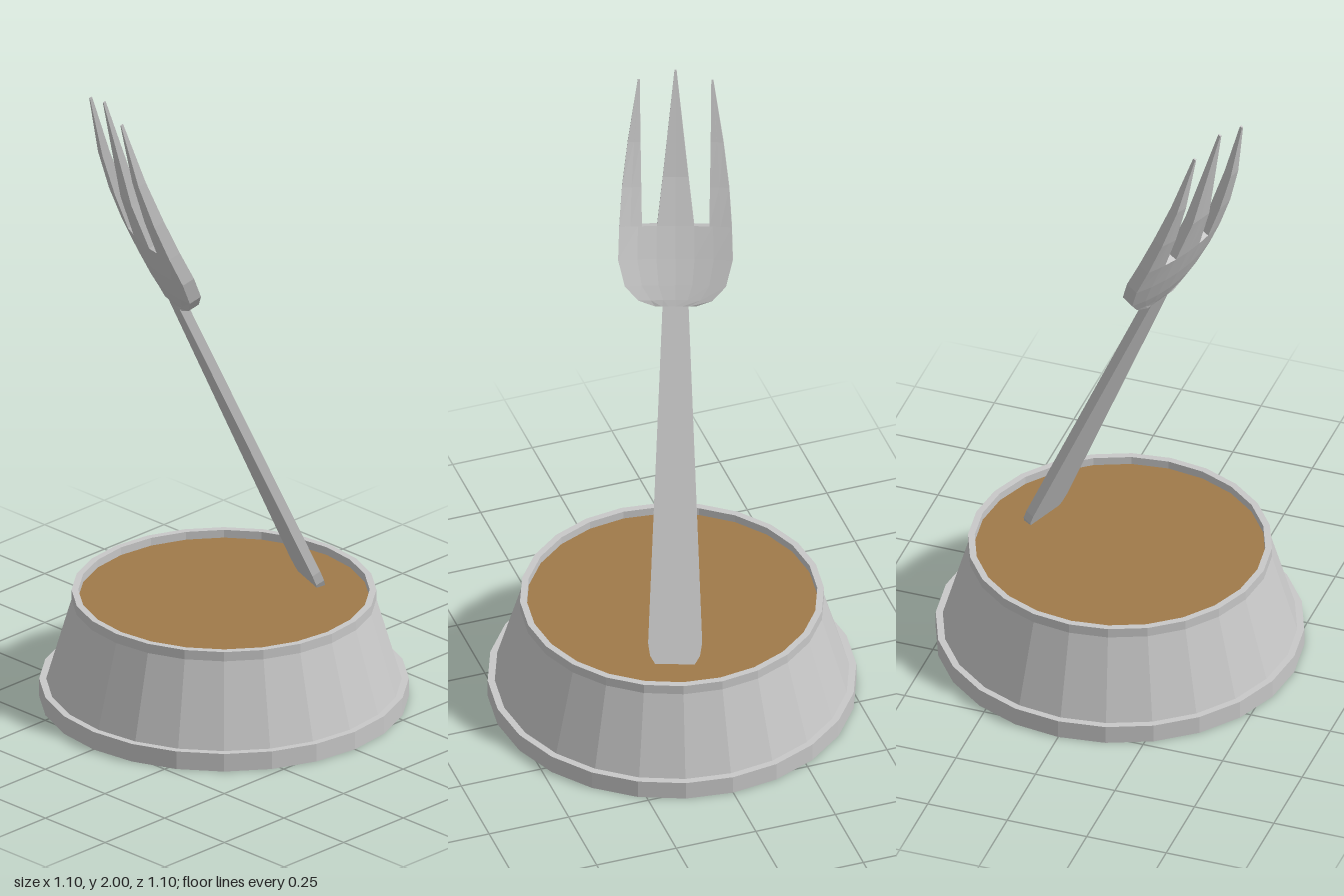
import * as THREE from 'three';

const metal = new THREE.MeshStandardMaterial({ color: 0xc8c8c8, flatShading: true });
metal.name = 'grey metal';
const food = new THREE.MeshStandardMaterial({ color: 0xa07a4a, flatShading: true });
food.name = 'brown filling';

// Curve of the fork head: dished across its width, tines swept back
function bend(w, u) {
  const t = Math.max(0, (u - 1.06) / 0.72);
  return 0.05 * t - 0.11 * t * t - (t > 0 ? 0.9 * w * w * Math.max(0, 1 - t) : 0);
}

// Thick strip lofted through rows of [u, wLeft, wRight, halfThickness]
function slab(name, rows, cols) {
  const pos = [], index = [], n = 2 * (cols + 1);
  for (const [u, w0, w1, half] of rows) {
    for (let m = 0; m < n; m++) {
      const front = m <= cols;
      const j = front ? m : n - 1 - m;
      const w = w0 + (w1 - w0) * j / cols;
      pos.push(w, u, bend(w, u) + (front ? half : -half));
    }
  }
  const quad = (a, b, c, d) => index.push(a, b, c, a, c, d);
  for (let i = 0; i < rows.length - 1; i++) {
    for (let m = 0; m < n; m++) {
      const a = i * n + m, b = i * n + (m + 1) % n;
      quad(a, b, b + n, a + n);
    }
  }
  // End caps
  const e = (rows.length - 1) * n;
  for (let j = 0; j < cols; j++) {
    const bj = n - 1 - j;
    quad(j, bj, bj - 1, j + 1);
    quad(e + j, e + j + 1, e + bj - 1, e + bj);
  }
  const g = new THREE.BufferGeometry();
  g.setAttribute('position', new THREE.Float32BufferAttribute(pos, 3));
  g.setIndex(index);
  g.computeVertexNormals();
  const mesh = new THREE.Mesh(g, metal);
  mesh.name = name;
  return mesh;
}

const symmetric = (rows) => rows.map(([u, w, t]) => [u, -w, w, t]);

function createFork() {
  const fork = new THREE.Group();
  fork.name = 'fork';

  // Tapered handle with a rounded end
  fork.add(slab('handle', symmetric([
    [-0.045, 0.035, 0.014], [-0.035, 0.058, 0.014], [-0.008, 0.074, 0.014],
    [0.03, 0.08, 0.014], [1.09, 0.037, 0.014],
  ]), 1));

  // Dished palm of the head
  fork.add(slab('forkPalm', symmetric([
    [1.055, 0.06, 0.016], [1.075, 0.11, 0.018], [1.12, 0.15, 0.02],
    [1.2, 0.17, 0.02], [1.3, 0.167, 0.019],
  ]), 6));

  // Three pointed tines
  fork.add(slab('middleTine', symmetric([
    [1.3, 0.055, 0.019], [1.45, 0.038, 0.016], [1.786, 0.003, 0.004],
  ]), 2));
  const outer = [
    [1.3, 0.1, 0.167, 0.019], [1.42, 0.102, 0.159, 0.017],
    [1.56, 0.104, 0.142, 0.013], [1.755, 0.106, 0.112, 0.004],
  ];
  fork.add(slab('leftTine', outer, 2));
  fork.add(slab('rightTine', outer.map(([u, a, b, t]) => [u, -b, -a, t]), 2));

  // Lean the fork: width axis, long axis, face normal
  const u = new THREE.Vector3(-0.136, 0.913, 0.384).normalize();
  const n = new THREE.Vector3(0.94, 0, 0.344).cross(u).normalize();
  const w = new THREE.Vector3().crossVectors(u, n);
  fork.quaternion.setFromRotationMatrix(new THREE.Matrix4().makeBasis(w, u, n));
  fork.position.set(0.085, 0.345, -0.27);
  return fork;
}

export function createModel() {
  const model = new THREE.Group();
  model.name = 'bowlWithFork';

  // Faceted bowl with foot ring, sloping wall and rim
  const profile = [
    [0, 0], [0.548, 0], [0.548, 0.057], [0.527, 0.057],
    [0.452, 0.315], [0.452, 0.345], [0.432, 0.345], [0.432, 0.31],
  ].map(([r, y]) => new THREE.Vector2(r, y));
  const bowl = new THREE.Mesh(new THREE.LatheGeometry(profile, 24), metal);
  bowl.name = 'bowl';
  model.add(bowl);

  // Filling surface
  const filling = new THREE.Mesh(new THREE.CircleGeometry(0.432, 24).rotateX(-Math.PI / 2), food);
  filling.name = 'filling';
  filling.position.y = 0.32;
  model.add(filling);

  model.add(createFork());
  return model;
}
